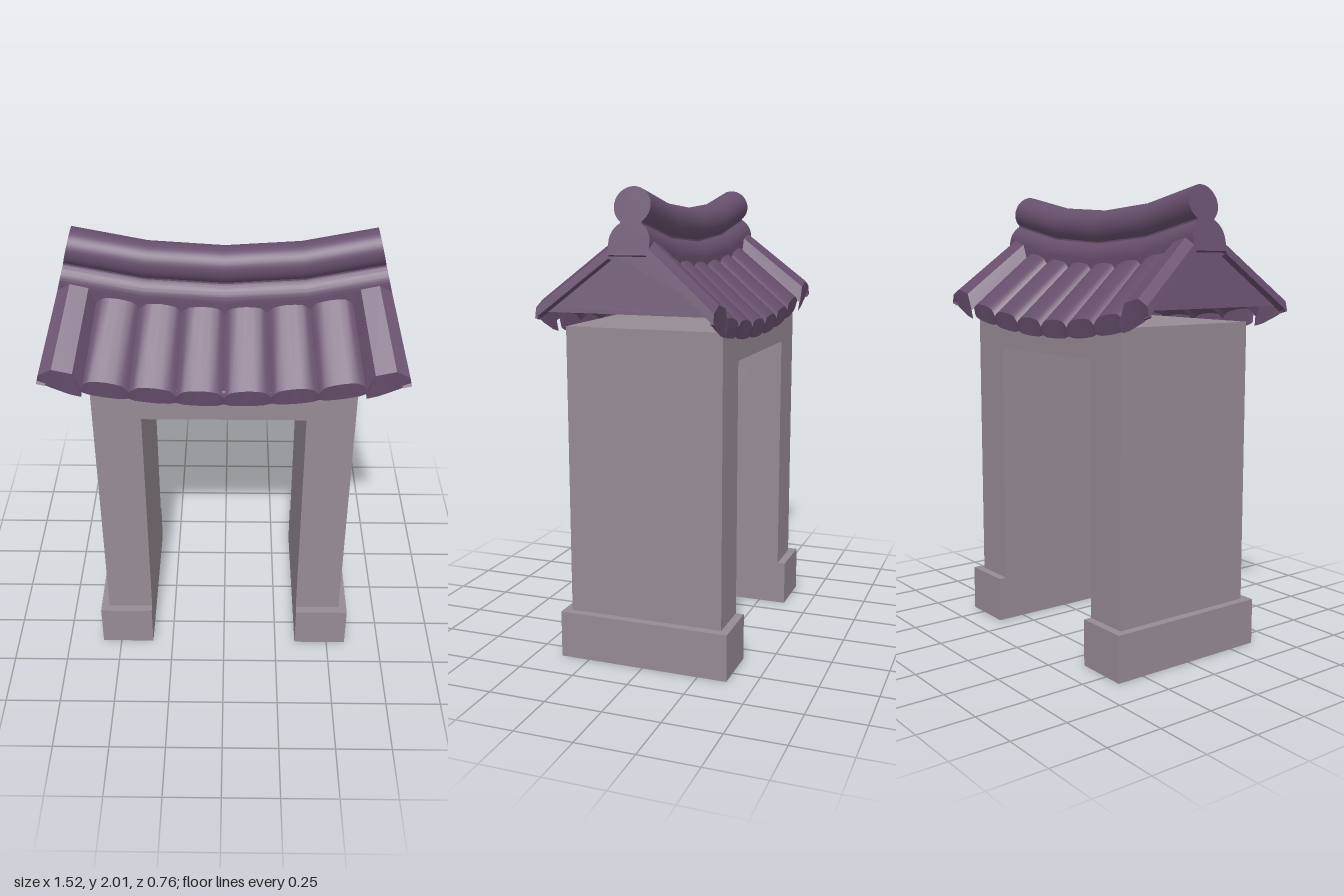
import * as THREE from 'three';
import { toCreasedNormals, mergeVertices } from 'three/addons/utils/BufferGeometryUtils.js';

const CENTRE = 4.34;      // height of the centre the roof is bent around
const HALF = 0.2615;      // half angle of the bent roof
const TILE = 0.2 / 3;     // angle covered by one tile

const roofMat = new THREE.MeshStandardMaterial({ color: 0x674f6d, side: THREE.DoubleSide });
roofMat.name = 'plum roof';
const wallMat = new THREE.MeshStandardMaterial({ color: 0x968b94, side: THREE.DoubleSide });
wallMat.name = 'grey stone';

// place a point of the straight roof on the upward-curving arc
function bend(angle, h, z) {
  const r = CENTRE - h;
  return [r * Math.sin(angle), CENTRE - r * Math.cos(angle), z];
}

// surface through rows of points
function sheet(rows, crease) {
  const n = rows[0].length, index = [];
  for (let j = 0; j < rows.length - 1; j++) {
    for (let i = 0; i < n - 1; i++) {
      const a = j * n + i, b = a + n;
      index.push(a, b, a + 1, b, b + 1, a + 1);
    }
  }
  const g = new THREE.BufferGeometry();
  g.setAttribute('position', new THREE.Float32BufferAttribute(rows.flat(2), 3));
  g.setIndex(index);
  return toCreasedNormals(g, crease);
}

// sloping tile with a lip at the eave; profile holds [angle, rise, lip height]
function slope(profile, eaveZ, crease) {
  return sheet([
    profile.map(([a, d]) => bend(a, 1.672 + d, 0.08)),
    profile.map(([a, d]) => bend(a, 1.428 + d, eaveZ)),
    profile.map(([a, , lip]) => bend(a, lip, eaveZ - 0.012)),
  ], crease);
}

// box with chosen sides left out (order: +x -x +y -y +z -z)
function openBox(x0, x1, y0, y1, depth, skip) {
  const g = new THREE.BoxGeometry(x1 - x0, y1 - y0, depth);
  const index = Array.from(g.index.array);
  g.setIndex(index.filter((_, i) => !skip.includes(Math.floor(i / 6))));
  g.clearGroups();
  g.translate((x0 + x1) / 2, (y0 + y1) / 2, 0);
  return g;
}

export function createModel() {
  const model = new THREE.Group();
  model.name = 'roofedGate';
  const add = (parent, name, geometry, material) => {
    const mesh = new THREE.Mesh(geometry, material);
    mesh.name = name;
    parent.add(mesh);
    return mesh;
  };

  // hollow pillars on wider plinths
  for (const [side, turn] of [['left', 0], ['right', Math.PI]]) {
    const post = new THREE.Group();
    post.name = side + 'Post';
    post.rotation.y = turn;
    add(post, 'pillar', openBox(0.345, 0.55, 0.205, 1.45, 0.685, [3]), wallMat);
    add(post, 'plinth', openBox(0.345, 0.587, 0, 0.205, 0.757, [2, 3]), wallMat);
    const ledge = new THREE.Shape([
      [0.345, 0.3785], [0.345, 0.3425], [0.55, 0.3425], [0.55, -0.3425],
      [0.345, -0.3425], [0.345, -0.3785], [0.587, -0.3785], [0.587, 0.3785],
    ].map(([x, y]) => new THREE.Vector2(x, y)));
    const ledgeGeo = new THREE.ShapeGeometry(ledge);
    ledgeGeo.rotateX(-Math.PI / 2).translate(0, 0.205, 0);
    add(post, 'plinthLedge', ledgeGeo, wallMat);
    model.add(post);
  }
  add(model, 'lintel', openBox(-0.345, 0.345, 1.31, 1.45, 0.685, [0, 1]), wallMat);

  // two roof slopes, each with six rounded tiles and a raised trim at both ends
  const arch = [[0, 0], [0.07, 0.014], [0.16, 0.026], [0.33, 0.031], [0.5, 0.033],
    [0.67, 0.031], [0.84, 0.026], [0.93, 0.014], [1, 0]];
  const trim = [[0.198, -0.01, 1.375], [0.215, 0.058, 1.378], [0.245, 0.058, 1.395],
    [HALF, 0.018, 1.41], [HALF, -0.025, 1.402], [0.249, -0.025, 1.4]];
  for (const [side, turn] of [['front', 0], ['back', Math.PI]]) {
    const roof = new THREE.Group();
    roof.name = side + 'RoofSlope';
    roof.rotation.y = turn;
    for (let i = -3; i < 3; i++) {
      const profile = arch.map(([t, d]) => [(i + t) * TILE, d, 1.39 - d * 0.3]);
      add(roof, 'roofTile', slope(profile, 0.357, 0.75), roofMat);
    }
    for (const s of [-1, 1]) {
      const profile = trim.map(([a, d, lip]) => [s * a, d, lip]);
      add(roof, 'endTrim', slope(profile, 0.372, 0.25), roofMat);
    }
    model.add(roof);
  }

  // gable panels closing the roof ends
  const tan = Math.tan(0.25);
  for (const s of [-1, 1]) {
    const row = (y, w) => [-w, w].map((z) => [s * (CENTRE - y) * tan, y, z]);
    add(model, 'gable', sheet([row(1.75, 0.08), row(1.55, 0.352), row(1.525, 0.352)], 0.5), roofMat);
  }

  // ridge: a round cap over a wider rounded base, bent along the roof
  const section = new THREE.Shape();
  section.moveTo(-0.086, 1.66);
  section.lineTo(0.086, 1.66);
  section.absarc(0, 1.712, 0.086, 0, 1.02, false);
  section.absarc(0, 1.855, 0.077, -0.946, Math.PI + 0.946, false);
  section.absarc(0, 1.712, 0.086, Math.PI - 1.02, Math.PI, false);
  section.closePath();
  const ridge = new THREE.ExtrudeGeometry(section, {
    depth: 1, steps: 4, bevelEnabled: false, curveSegments: 14,
  });
  const p = ridge.attributes.position;
  for (let i = 0; i < p.count; i++) {
    p.setXYZ(i, ...bend((p.getZ(i) - 0.5) * 2 * HALF, p.getY(i), -p.getX(i)));
  }
  ridge.deleteAttribute('normal');
  ridge.deleteAttribute('uv');
  add(model, 'ridge', toCreasedNormals(mergeVertices(ridge), 0.6), roofMat);

  return model;
}
